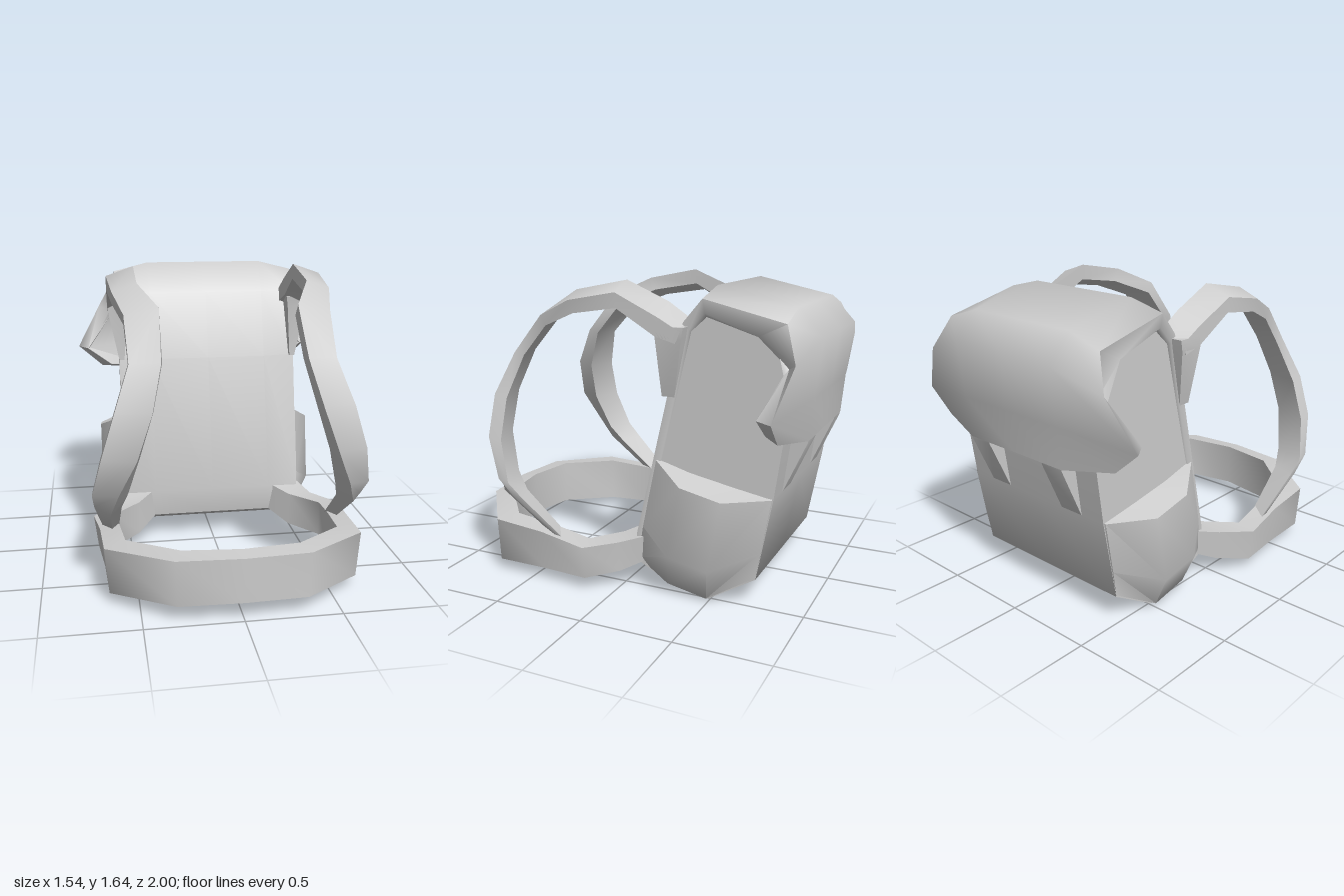
import * as THREE from 'three';
import { toCreasedNormals } from 'three/addons/utils/BufferGeometryUtils.js';

const grey = new THREE.MeshStandardMaterial({ color: 0xcccccc });
grey.name = 'grey cloth';

// Skins a list of closed rings of [x, y, z] points and caps both ends
function loft(name, rings, crease = 1) {
  const n = rings[0].length;
  const pos = rings.flat(2);
  const idx = [];
  for (let r = 0; r < rings.length - 1; r++) {
    for (let i = 0; i < n; i++) {
      const a = r * n + i, b = r * n + (i + 1) % n;
      idx.push(a, b, b + n, a, b + n, a + n);
    }
  }
  [rings[0], rings[rings.length - 1]].forEach((ring, end) => {
    const c = pos.length / 3, start = end ? (rings.length - 1) * n : 0;
    for (let k = 0; k < 3; k++) pos.push(ring.reduce((s, p) => s + p[k], 0) / n);
    for (let i = 0; i < n; i++) {
      const a = start + i, b = start + (i + 1) % n;
      if (end) idx.push(a, b, c); else idx.push(b, a, c);
    }
  });
  // Turn the faces outward if the enclosed volume is negative
  const P = i => new THREE.Vector3().fromArray(pos, i * 3);
  let volume = 0;
  for (let i = 0; i < idx.length; i += 3) volume += P(idx[i]).dot(P(idx[i + 1]).cross(P(idx[i + 2])));
  if (volume < 0) idx.reverse();
  const g = new THREE.BufferGeometry();
  g.setAttribute('position', new THREE.Float32BufferAttribute(pos, 3));
  g.setIndex(idx);
  const mesh = new THREE.Mesh(toCreasedNormals(g, crease), grey);
  mesh.name = name;
  return mesh;
}

const flip = p => [-p[0], p[1], p[2]];
const mirrored = rings => rings.map(ring => ring.map(flip));
const lerp = (a, b, t) => a + (b - a) * t;

export function createModel() {
  const model = new THREE.Group();
  model.name = 'backpack';
  const pair = (name, rings, crease) => {
    model.add(loft('left' + name, rings, crease), loft('right' + name, mirrored(rings), crease));
  };

  // Main bag: a leaning side profile [z, y] swept across x, narrowing away from the wearer
  const profile = [[-0.09, 0.16], [-0.27, 0.06], [-0.49, 0.01], [-0.74, 0.16], [-0.82, 0.6],
    [-0.86, 0.9], [-0.91, 1.32], [-0.67, 1.48], [-0.46, 1.55], [-0.38, 1.44]];
  model.add(loft('bag', [-0.53, 0, 0.53].map(x =>
    profile.map(([z, y]) => [x * lerp(1, 0.92, -z / 0.85), y, z]))));

  // Side pockets: [bottom z, bottom y, top z, outer rim y, inner rim y, x]
  pair('SidePocket', [
    [-0.08, 0.16, -0.2, 0.74, 0.745, 0.535],
    [-0.27, 0.06, -0.38, 0.65, 0.7, 0.65],
    [-0.49, 0.015, -0.6, 0.6, 0.65, 0.645],
    [-0.74, 0.16, -0.815, 0.6, 0.605, 0.5],
  ].map(([zb, yb, zt, yt, yi, x]) => [
    [0.47, yb, zb], [lerp(0.49, x, 0.35), yb + 0.01, zb],
    [x, lerp(yb, yt, 0.35), lerp(zb, zt, 0.35)], [x, yt, zt], [0.47, yi, zt],
  ]));

  // Back panel running up into the lid, which flares at its lower corners
  // c: centre [y, z], e: edge, w: wrapped tip, o: inner offset [x, y, z]
  const lidRows = [
    { c: [0.155, -0.07], e: [0.52, 0.16, -0.08], w: [0.52, 0.16, -0.1], o: [0.03, 0, -0.04] },
    { c: [0.31, -0.045], e: [0.525, 0.31, -0.08], w: [0.525, 0.31, -0.12], o: [0.03, 0, -0.05] },
    { c: [1.08, -0.23], e: [0.53, 1.08, -0.26], w: [0.53, 1.08, -0.3], o: [0.03, 0, -0.05] },
    { c: [1.46, -0.335], e: [0.53, 1.46, -0.345], w: [0.53, 1.42, -0.375], o: [0.03, -0.05, -0.04] },
    { c: [1.63, -0.45], e: [0.54, 1.58, -0.45], w: [0.535, 1.51, -0.46], o: [0.03, -0.09, -0.01] },
    { c: [1.54, -0.87], e: [0.54, 1.48, -0.875], w: [0.525, 1.41, -0.73], o: [0.03, -0.09, 0.06] },
    { c: [1.4, -1.0], e: [0.63, 1.305, -0.945], w: [0.54, 1.27, -0.89], o: [0.05, -0.06, 0.07] },
    { c: [1.1, -0.965], e: [0.77, 1.05, -0.88], w: [0.71, 1.05, -0.79], o: [0.07, 0, 0.06] },
    { c: [0.88, -0.945], e: [0.62, 0.92, -0.87], w: [0.56, 0.94, -0.79], o: [0.05, 0.02, 0.06] },
  ];
  model.add(loft('backPanelAndLid', lidRows.map(({ c, e, w, o }) => {
    const mid = [0.34, c[0], c[1]], centre = [0, c[0], c[1]];
    const inner = p => [p[0] - o[0] * Math.sign(p[0]), p[1] + o[1], p[2] + o[2]];
    return [w, e, mid, centre, flip(mid), flip(e), flip(w),
      inner(flip(e)), inner(flip(mid)), inner(centre), inner(mid), inner(e)];
  }), 1.27));

  // Two closing tabs tapering from the lid edge into the bag
  pair('LidTab', [0.2, 0.34].map(x => [
    [x, 0.92, -0.8], [x, 0.92, -0.948], [x, 0.87, -0.942], [x, 0.6, -0.822], [x, 0.6, -0.78]]));

  // Shoulder straps: [outer z, outer y, inner z, inner y,
  //   x of front edge, x of outside edge, x of hidden inside edge, tilt]
  pair('ShoulderStrap', [
    [-0.37, 1.46, -0.33, 1.36, 0.45, 0.59, 0.45, 0.4],
    [-0.24, 1.55, -0.22, 1.39, 0.46, 0.59, 0.46, 0.4],
    [0, 1.65, -0.01, 1.52, 0.45, 0.6, 0.45, 0.4],
    [0.3, 1.59, 0.25, 1.48, 0.45, 0.58, 0.45, 0.4],
    [0.5, 1.49, 0.45, 1.4, 0.355, 0.53, 0.35, 0.4],
    [0.7, 1.25, 0.6, 1.23, 0.365, 0.52, 0.355, 0.4],
    [0.81, 1.03, 0.67, 1.0, 0.42, 0.6, 0.41, 0.45],
    [0.83, 0.8, 0.67, 0.78, 0.5, 0.67, 0.48, 0.5],
    [0.75, 0.6, 0.6, 0.56, 0.59, 0.72, 0.54, 0.6],
    [0.69, 0.48, 0.52, 0.48, 0.63, 0.71, 0.57, 0.7],
    [0.43, 0.29, 0.3, 0.28, 0.62, 0.67, 0.58, 0.7],
  ].map(([oz, oy, iz, iy, xa, xb, xd, t]) => [
    [xa, oy, oz], [xb, lerp(oy, iy, t), lerp(oz, iz, t)],
    [xb, iy, iz], [xd, lerp(oy, iy, 0.65), lerp(oz, iz, 0.65)],
  ]), 0.9);

  // Webs below the straps, tapering to a point on the back panel
  pair('StrapAnchor', [
    [1.44, 0.47, 0.59, -0.37, -0.21],
    [1.38, 0.48, 0.59, -0.36, -0.22],
    [1.08, 0.5, 0.53, -0.3, -0.23],
  ].map(([y, xi, xo, zb, zf]) => [[xi, y, zb], [xo, y, zb], [xo, y, zf], [xi, y, zf]]));

  // Hip belt: [outer x, outer z, inner x, inner z, bottom y, top y], mirrored into one loop
  const half = [
    [0.53, -0.14, 0.34, -0.08, 0.16, 0.32],
    [0.59, 0, 0.45, 0.03, 0.09, 0.28],
    [0.715, 0.15, 0.6, 0.17, 0.07, 0.27],
    [0.685, 0.42, 0.58, 0.4, 0.065, 0.305],
    [0.67, 0.72, 0.56, 0.65, 0.06, 0.325],
    [0.34, 0.97, 0.3, 0.87, 0.09, 0.35],
    [0, 1.0, 0, 0.91, 0.1, 0.355],
  ].map(([ox, oz, ix, iz, yb, yt]) => [
    [ox * 0.97, yb + 0.01, oz], [ox, yt - 0.01, oz], [ix, yt, iz], [ix, yb, iz]]);
  model.add(loft('hipBelt', [...half, ...mirrored(half.slice(0, -1)).reverse()]));

  return model;
}
